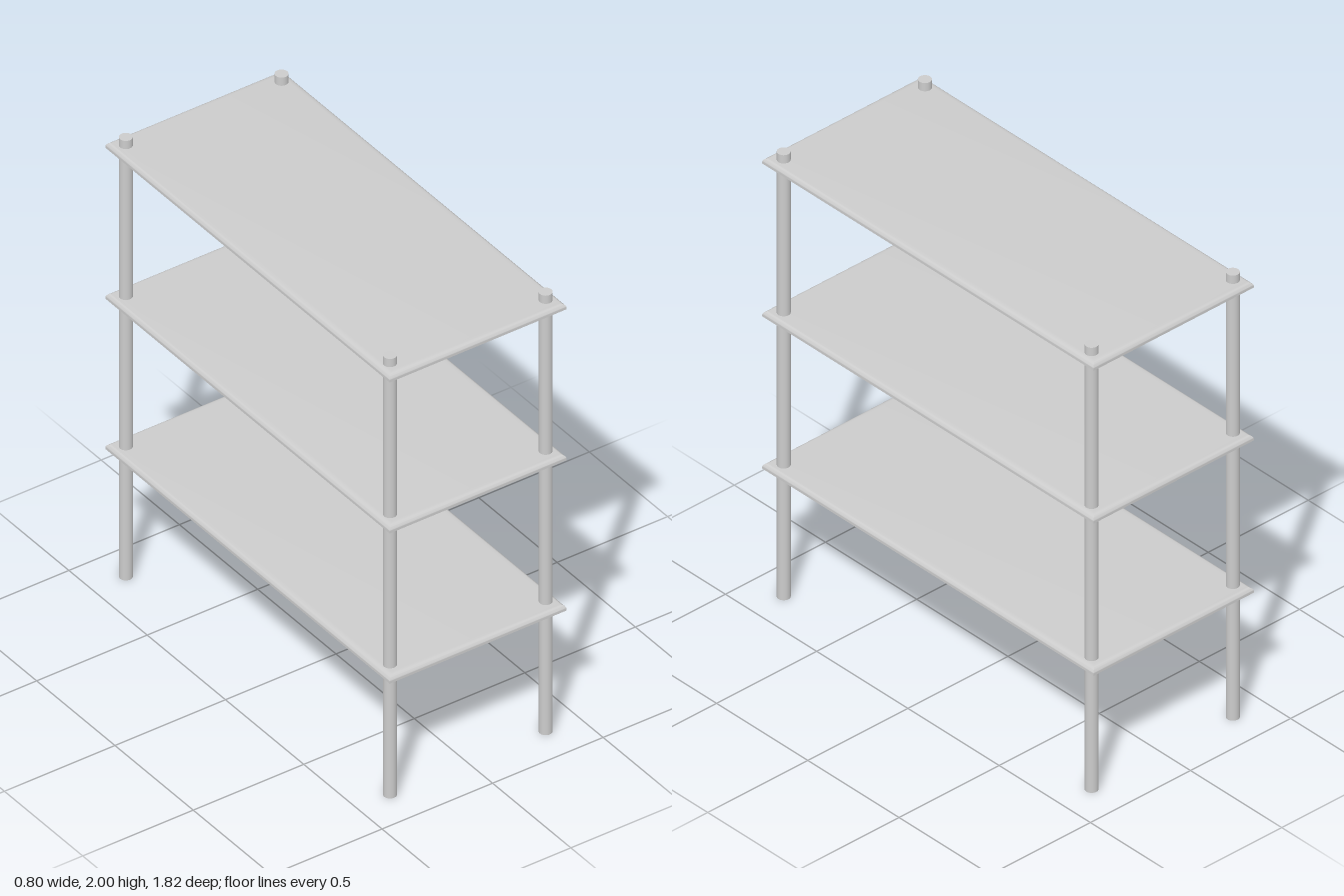
import * as THREE from 'three';
import { toCreasedNormals } from 'three/addons/utils/BufferGeometryUtils.js';

const HALF_X = 0.4, HALF_Z = 0.908;
const LIP = 0.027; // total height of a shelf

// Shelf edge section as [inset from edge, height]: rounded top edge,
// upright skirt, narrow lip underneath and a recessed underside.
function shelfSection() {
  const points = [];
  const rx = 0.03, ry = 0.018;
  for (let i = 0; i <= 8; i++) {
    const a = (i / 8) * Math.PI / 2;
    points.push([rx * (1 - Math.sin(a)), LIP - ry + ry * Math.cos(a)]);
  }
  points.push([0, 0], [0.027, 0], [0.027, 0.018]);
  return points;
}

// Sweeps the section round the rectangle with mitred corners.
function shelfGeometry() {
  const corners = [[1, 1], [1, -1], [-1, -1], [-1, 1]];
  const rings = shelfSection().map(([inset, y]) =>
    corners.map(([sx, sz]) => [sx * (HALF_X - inset), y, sz * (HALF_Z - inset)]));
  const positions = [];
  const quad = (a, b, c, d) => [a, b, c, a, c, d].forEach(p => positions.push(...p));

  for (let i = 0; i < rings.length - 1; i++) {
    for (let j = 0; j < 4; j++) {
      const k = (j + 1) % 4;
      quad(rings[i][j], rings[i + 1][j], rings[i + 1][k], rings[i][k]);
    }
  }
  quad(...rings[0]); // top panel
  quad(...[...rings[rings.length - 1]].reverse()); // recessed underside

  const geometry = new THREE.BufferGeometry();
  geometry.setAttribute('position', new THREE.Float32BufferAttribute(positions, 3));
  return toCreasedNormals(geometry, Math.PI / 6);
}

export function createModel() {
  const model = new THREE.Group();
  model.name = 'shelvingUnit';
  const material = new THREE.MeshStandardMaterial({ color: 0xcccccc });

  // Three identical shelves
  const shelfGeo = shelfGeometry();
  const shelves = { lowerShelf: 0.565, middleShelf: 1.249, upperShelf: 1.936 };
  for (const [name, y] of Object.entries(shelves)) {
    const shelf = new THREE.Mesh(shelfGeo, material);
    shelf.name = name;
    shelf.position.y = y;
    model.add(shelf);
  }

  // Four round posts, running through the shelves
  const postGeo = new THREE.CylinderGeometry(0.026, 0.026, 2, 32);
  const posts = {
    frontLeftPost: [0.35, 0.845],
    frontRightPost: [-0.35, 0.839],
    backLeftPost: [0.35, -0.842],
    backRightPost: [-0.35, -0.848],
  };
  for (const [name, [x, z]] of Object.entries(posts)) {
    const post = new THREE.Mesh(postGeo, material);
    post.name = name;
    post.position.set(x, 1, z);
    model.add(post);
  }

  return model;
}
